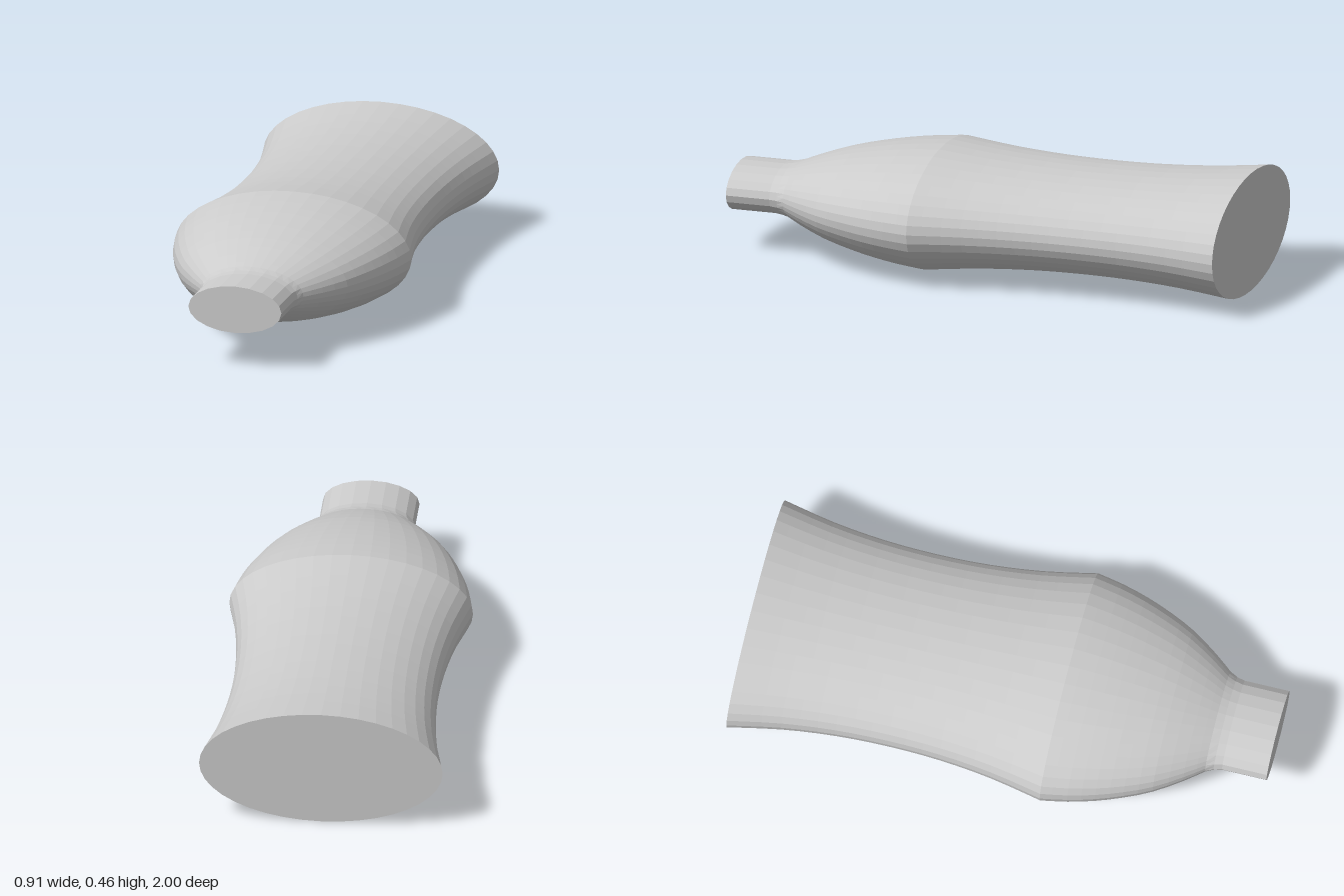
import * as THREE from 'three';

const SIDES = 40;
const FLATTEN = 0.5; // height of each oval relative to its width
const AXIS_Y = 0.23;

// Half-widths along the length: [z, half-width]
function makeProfile() {
  const v = (z, r) => new THREE.Vector2(r, z);
  const body = new THREE.SplineCurve([
    v(-1, 0.455), v(-0.8, 0.415), v(-0.6, 0.392), v(-0.4, 0.385),
    v(-0.2, 0.392), v(0, 0.415), v(0.2, 0.455),
  ]).getPoints(18);
  const shoulder = new THREE.SplineCurve([
    v(0.2, 0.455), v(0.3, 0.436), v(0.4, 0.408), v(0.5, 0.37),
    v(0.6, 0.322), v(0.7, 0.255), v(0.77, 0.2),
  ]).getPoints(12);
  const neck = [v(0.8, 0.187), v(0.83, 0.18), v(1, 0.18)];
  return [v(-1, 0), ...body, ...shoulder.slice(1), ...neck, v(1, 0)];
}

export function createModel() {
  const group = new THREE.Group();
  group.name = 'flattenedBottle';

  const profile = makeProfile();
  const geometry = new THREE.LatheGeometry(profile, SIDES);

  // The neck has half as many facets: pull every second column onto the chord
  const pos = geometry.attributes.position;
  const chord = Math.cos((2 * Math.PI) / SIDES);
  for (let k = 0; k < pos.count; k++) {
    const column = Math.floor(k / profile.length);
    if (column % 2 === 1 && pos.getY(k) > 0.78) {
      pos.setX(k, pos.getX(k) * chord);
      pos.setZ(k, pos.getZ(k) * chord);
    }
  }

  // Lay it down with the neck to the front and squash it to an oval
  geometry.rotateX(Math.PI / 2);
  geometry.scale(1, FLATTEN, 1);
  geometry.translate(0, AXIS_Y, 0);
  geometry.computeVertexNormals();

  const material = new THREE.MeshStandardMaterial({ color: 0xcccccc, flatShading: true });
  const bottle = new THREE.Mesh(geometry, material);
  bottle.name = 'bottleBody';
  group.add(bottle);
  return group;
}
